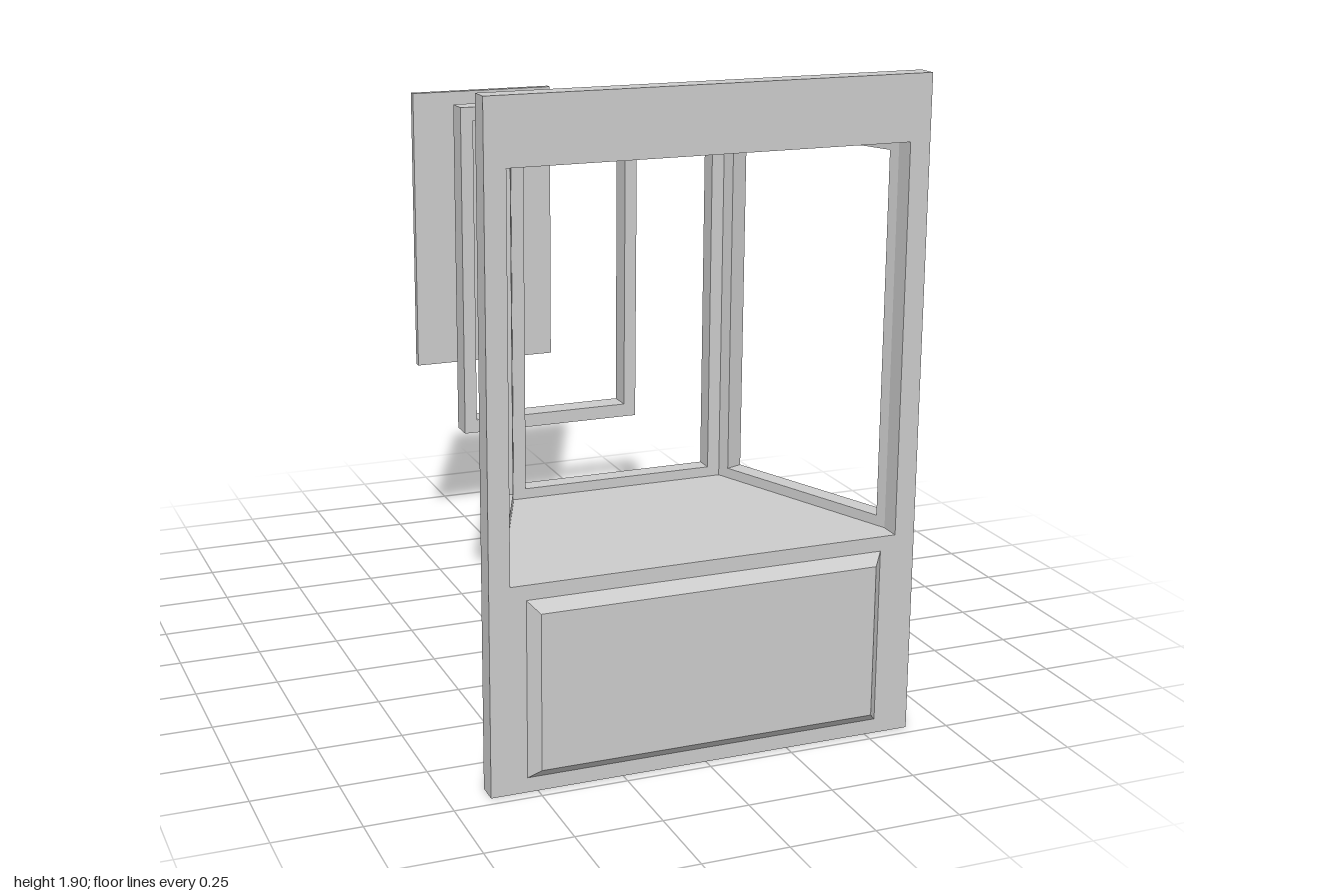
import * as THREE from 'three';

const material = new THREE.MeshStandardMaterial({ color: 0xcccccc, flatShading: true });

function polygon(points) {
  return new THREE.Shape(points.map(([x, y]) => new THREE.Vector2(x, y)));
}

function rectPoints(halfWidth, y0, y1) {
  return [[-halfWidth, y0], [halfWidth, y0], [halfWidth, y1], [-halfWidth, y1]];
}

function part(name, geometry) {
  const mesh = new THREE.Mesh(geometry, material);
  mesh.name = name;
  return mesh;
}

// Upright rectangular board with a rectangular opening, from z0 to z1.
function framedBoard(outer, opening, z0, z1) {
  const shape = polygon(rectPoints(...outer));
  shape.holes.push(polygon(rectPoints(...opening)));
  const g = new THREE.ExtrudeGeometry(shape, { depth: z1 - z0, bevelEnabled: false });
  return g.translate(0, 0, z0);
}

// Floor-plan outline of [x, z] points raised from y0 to y1.
function planSlab(points, y0, y1) {
  const shape = polygon(points.map(([x, z]) => [x, -z]));
  const g = new THREE.ExtrudeGeometry(shape, { depth: y1 - y0, bevelEnabled: false });
  return g.rotateX(-Math.PI / 2).translate(0, y0, 0);
}

export function createModel() {
  const group = new THREE.Group();
  group.name = 'bayWindow';

  // Front panel with a wide opening
  group.add(part('frontPanel', framedBoard([0.635, 0, 1.905], [0.575, 0.6, 1.72], 0.905, 0.967)));

  // Raised lower panel: a box whose front face is drawn in to form sloping edges
  const raised = new THREE.BoxGeometry(1.06, 0.514, 0.033);
  const pos = raised.attributes.position;
  for (let i = 0; i < pos.count; i++) {
    if (pos.getZ(i) > 0) {
      pos.setX(i, Math.sign(pos.getX(i)) * 0.5);
      pos.setY(i, Math.sign(pos.getY(i)) * 0.226);
    }
  }
  raised.translate(0, 0.3, 0.9835);
  raised.computeVertexNormals();
  group.add(part('raisedPanel', raised));

  // Plan of the tapering bay
  const back = 0.24, front = 0.905, inner = 0.295;
  const slope = (0.635 - 0.37) / (front - back);
  const outX = z => 0.37 + slope * (z - back);
  const inX = z => outX(z) - 0.059;
  const outline = [[-0.37, back], [0.37, back], [0.635, front], [-0.635, front]];
  const rim = [
    ...outline.slice(0, 3),
    [inX(front), front], [inX(inner), inner], [-inX(inner), inner], [-inX(front), front],
    outline[3],
  ];

  const bay = new THREE.Group();
  bay.name = 'bay';
  bay.add(part('bayFloor', planSlab(outline, 0.525, 0.6)));
  bay.add(part('lowerRail', planSlab(rim, 0.6, 0.63)));
  bay.add(part('upperRail', planSlab(rim, 1.685, 1.72)));
  bay.add(part('bayRoof', planSlab(outline, 1.72, 1.79)));

  // Posts between the windows, with jambs square to the walls
  const jamb = z => [[outX(z), z], [outX(z) - 0.051, z + 0.02]];
  const [rearOut, rearIn] = jamb(0.31);
  const [foreOut, foreIn] = jamb(0.855);
  const cornerPost = [[0.295, back], [0.37, back], rearOut, rearIn, [inX(inner), inner], [0.295, inner]];
  const frontPost = [foreOut, [0.635, front], [inX(front), front], foreIn];
  for (const [side, s] of [['left', 1], ['right', -1]]) {
    const mirror = pts => pts.map(([x, z]) => [x * s, z]);
    bay.add(part(side + 'CornerPost', planSlab(mirror(cornerPost), 0.63, 1.685)));
    bay.add(part(side + 'FrontPost', planSlab(mirror(frontPost), 0.63, 1.685)));
  }
  group.add(bay);

  // Detached window frame and pane behind the bay
  group.add(part('windowFrame', framedBoard([0.295, 0.632, 1.685], [0.255, 0.674, 1.643], -0.365, -0.292)));
  const pane = new THREE.BoxGeometry(0.494, 0.956, 0.025);
  group.add(part('windowPane', pane.translate(0, 1.158, -0.9875)));

  return group;
}
